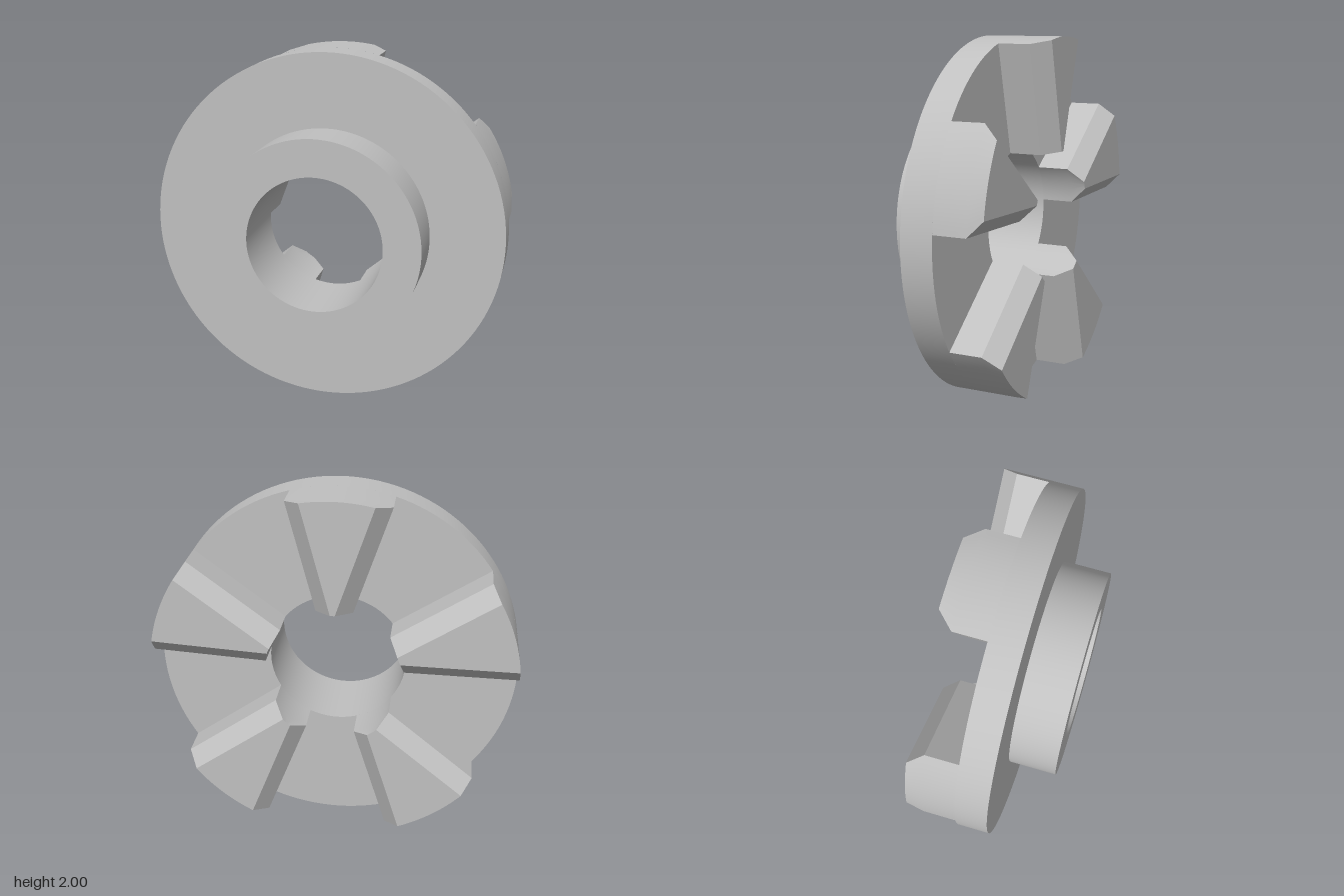
import * as THREE from 'three';
import { toCreasedNormals } from 'three/addons/utils/BufferGeometryUtils.js';

const RIM = 1, BORE = 0.38, HUB = 0.587;
const BACK = -0.087, CHAMFER = -0.267, TIP = -0.355;
const PIVOT = new THREE.Vector2(0.012, 0.031); // the tooth pattern sits slightly off the axis
const RAD = Math.PI / 180;

// Angle (about the axis) where a flank line, shifted sideways, meets a circle
function flankAngle(dir, shift, radius) {
  const u = new THREE.Vector2(Math.cos(dir), Math.sin(dir));
  const p = new THREE.Vector2(-u.y, u.x).multiplyScalar(shift).add(PIVOT);
  const b = p.dot(u);
  const t = -b + Math.sqrt(b * b - p.lengthSq() + radius * radius);
  return p.addScaledVector(u, t).angle();
}

// Wedge with radial flanks, curved ends and two chamfered edges
function toothGeometry(center, half) {
  const N = 14, pos = [];
  const arc = (radius, inset, z) => {
    const a = flankAngle(center - half, inset, radius);
    let b = flankAngle(center + half, -inset, radius);
    if (b < a) b += 2 * Math.PI;
    return Array.from({ length: N + 1 }, (_, i) => {
      const t = a + (b - a) * i / N;
      return [radius * Math.cos(t), radius * Math.sin(t), z];
    });
  };
  const quad = (a, b, c, d) => pos.push(...a, ...b, ...c, ...a, ...c, ...d);
  const levels = [[0, BACK], [0, CHAMFER], [0.088, TIP]].map(([inset, z]) => ({
    outer: arc(RIM, inset, z), inner: arc(BORE, inset, z),
  }));
  // walls between levels
  for (let k = 0; k < 2; k++) {
    const p = levels[k], q = levels[k + 1];
    const loopP = [...p.outer, ...p.inner.slice().reverse()];
    const loopQ = [...q.outer, ...q.inner.slice().reverse()];
    loopP.forEach((v, i) => {
      const j = (i + 1) % loopP.length;
      quad(v, loopQ[i], loopQ[j], loopP[j]);
    });
  }
  // flat tip
  const { outer, inner } = levels[2];
  for (let i = 0; i < N; i++) quad(outer[i], inner[i], inner[i + 1], outer[i + 1]);

  const geo = new THREE.BufferGeometry();
  geo.setAttribute('position', new THREE.Float32BufferAttribute(pos, 3));
  return toCreasedNormals(geo, 25 * RAD);
}

export function createModel() {
  const model = new THREE.Group();
  model.name = 'jawCoupling';
  const steel = new THREE.MeshStandardMaterial({ color: 0xc0c0c0 });
  steel.name = 'grey steel';

  // Flange and hub turned as one ring with a through bore
  const profile = [
    [BORE, BACK], [RIM, BACK], [RIM, 0.09], [HUB, 0.09],
    [HUB, 0.355], [BORE, 0.355], [BORE, BACK],
  ].map(([x, y]) => new THREE.Vector2(x, y));
  const ring = new THREE.LatheGeometry(profile, 128).rotateX(Math.PI / 2);
  const body = new THREE.Mesh(toCreasedNormals(ring, 25 * RAD), steel);
  body.name = 'flangeAndHub';
  model.add(body);

  // Five coupling teeth on the back
  const teeth = new THREE.Group();
  teeth.name = 'teeth';
  for (let i = 0; i < 5; i++) {
    const tooth = new THREE.Mesh(toothGeometry((20.2 + 72 * i) * RAD, 16.7 * RAD), steel);
    tooth.name = 'tooth' + (i + 1);
    teeth.add(tooth);
  }
  model.add(teeth);

  model.position.y = 1;
  return model;
}
